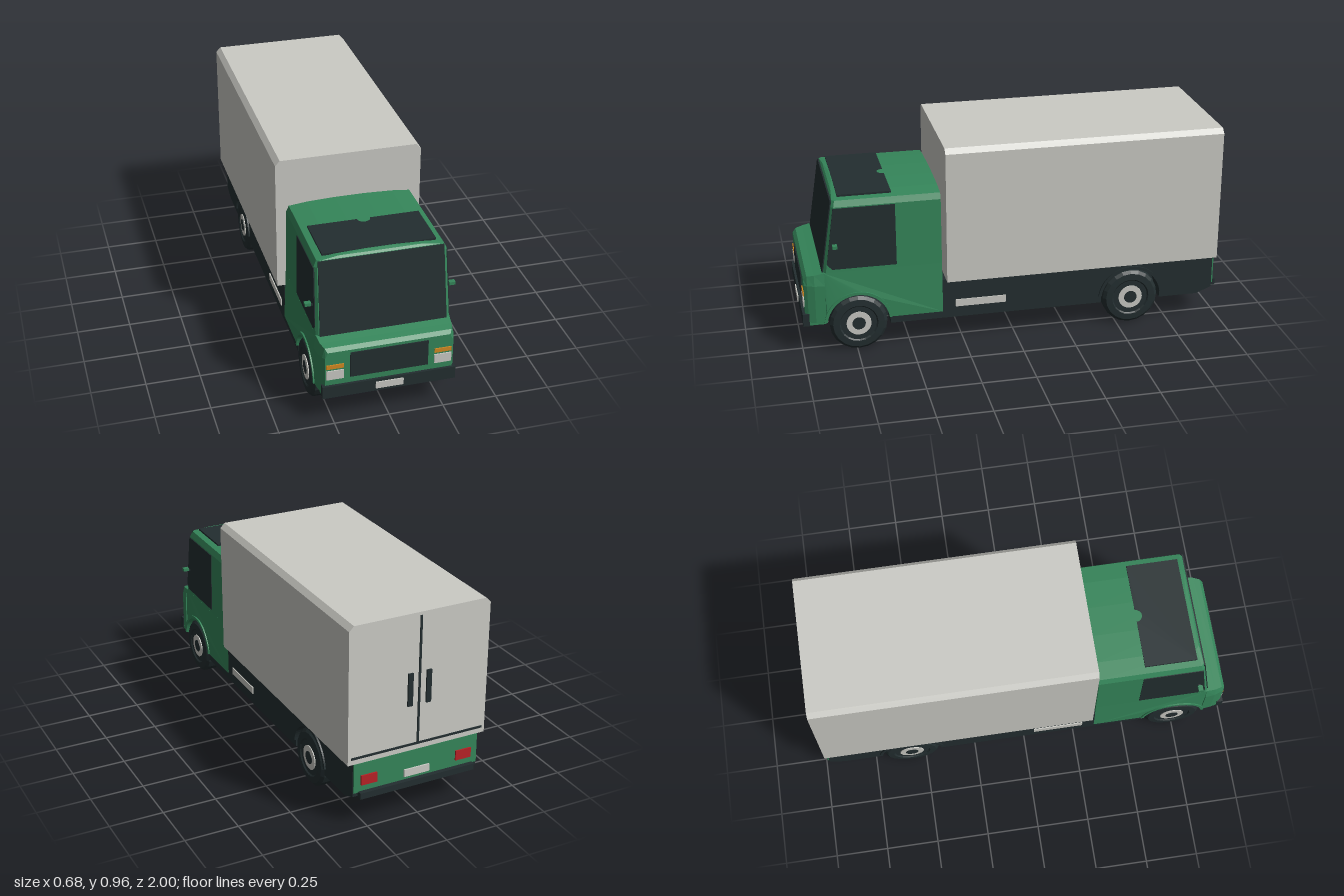
import * as THREE from 'three';

const material = (name, color) => Object.assign(new THREE.MeshStandardMaterial({ color }), { name });

// Flat-faced copy of a geometry
function flat(geo) {
  const g = geo.index ? geo.toNonIndexed() : geo;
  g.clearGroups();
  g.computeVertexNormals();
  return g;
}

// Copy reflected in x, with the corner order turned round
function reflected(geo) {
  const g = geo.clone(), p = g.attributes.position;
  for (let i = 0; i < p.count; i += 3) {
    const t = [0, 1, 2].map(k => [-p.getX(i + k), p.getY(i + k), p.getZ(i + k)]);
    [2, 1, 0].forEach((k, n) => p.setXYZ(i + n, ...t[k]));
  }
  g.computeVertexNormals();
  return g;
}

// Closed solid through rings of [x, y, z] points
function loft(rings) {
  const v = [], n = rings[0].length, last = rings[rings.length - 1];
  for (let k = 0; k + 1 < rings.length; k++) {
    const a = rings[k], b = rings[k + 1];
    for (let i = 0; i < n; i++) {
      const j = (i + 1) % n;
      v.push(...a[i], ...a[j], ...b[j], ...a[i], ...b[j], ...b[i]);
    }
  }
  for (let i = 1; i + 1 < n; i++) {
    v.push(...last[0], ...last[i], ...last[i + 1]);
    v.push(...rings[0][0], ...rings[0][i + 1], ...rings[0][i]);
  }
  const g = new THREE.BufferGeometry();
  g.setAttribute('position', new THREE.Float32BufferAttribute(v, 3));
  g.computeVertexNormals();
  return g;
}

// Box given by its limits
function block(x0, x1, y0, y1, z0, z1) {
  const g = new THREE.BoxGeometry(x1 - x0, y1 - y0, z1 - z0);
  return flat(g.translate((x0 + x1) / 2, (y0 + y1) / 2, (z0 + z1) / 2));
}

// Side outline (drawn with -z to the right) given a thickness in x
function sidePanel(shape, x0, x1) {
  const g = new THREE.ExtrudeGeometry(shape, { depth: x1 - x0, bevelEnabled: false, curveSegments: 14 });
  return flat(g.rotateY(Math.PI / 2).translate(x0, 0, 0));
}

export function createModel() {
  const model = new THREE.Group();
  model.name = 'boxTruck';
  const green = material('green paint', 0x35865a);
  const dark = material('dark trim and glass', 0x232e30);
  const grey = material('light grey', 0xcbcbc5);
  const orange = material('orange lamp', 0xd48a22);
  const red = material('red lamp', 0xb82226);

  const add = (name, geo, mat) => {
    const m = new THREE.Mesh(geo, mat);
    m.name = name;
    model.add(m);
  };
  const pair = (name, geo, mat) => {
    add(name + 'Left', geo, mat);
    add(name + 'Right', reflected(geo), mat);
  };

  const axleY = 0.137, frontZ = 0.74, rearZ = -0.565, archR = 0.145;

  // Cargo box with chamfered top edges
  const boxRing = z => [[-0.34, 0.315, z], [0.34, 0.315, z], [0.34, 0.942, z],
    [0.318, 0.965, z], [-0.318, 0.965, z], [-0.34, 0.942, z]];
  add('cargoBox', loft([boxRing(-0.982), boxRing(0.328)]), grey);
  add('doorSeam', block(-0.005, 0.005, 0.345, 0.95, -0.986, -0.981), dark);
  add('doorSill', block(-0.325, 0.325, 0.34, 0.35, -0.986, -0.981), dark);
  pair('doorHandle', block(0.033, 0.057, 0.535, 0.69, -0.99, -0.981), dark);

  // Upper cab, tapering to a crowned roof
  const cabRing = (w, y, zf, c = 0.012) => [[w, y, zf - c], [w, y, 0.345], [-w, y, 0.345],
    [-w, y, zf - c], [-w + c, y, zf], [w - c, y, zf]];
  add('upperCab', loft([cabRing(0.303, 0.395, 0.893), cabRing(0.297, 0.715, 0.844),
    cabRing(0.284, 0.743, 0.838), cabRing(0.2, 0.752, 0.83), cabRing(0.07, 0.757, 0.815)]), green);

  // Glass
  const screen = d => [[-0.287, 0.394, 0.893 + d], [0.287, 0.394, 0.893 + d],
    [0.281, 0.741, 0.84 + d], [-0.281, 0.741, 0.84 + d]];
  add('windscreen', loft([screen(-0.002), screen(0.005)]), dark);
  const sideGlass = d => [[0.85, 0.415], [0.555, 0.415], [0.555, 0.71], [0.836, 0.71], [0.874, 0.44]]
    .map(([z, y]) => [0.303 - (y - 0.395) * 0.019 + d, y, z]);
  pair('sideWindow', loft([sideGlass(-0.002), sideGlass(0.003)]), dark);

  // Roof panel with a round notch in its rear edge
  const roof = new THREE.Shape();
  roof.moveTo(-0.255, -0.81).lineTo(0.255, -0.81).lineTo(0.255, -0.565).lineTo(0.03, -0.565);
  roof.absarc(0, -0.565, 0.03, 0, Math.PI, true).lineTo(-0.255, -0.565).closePath();
  const roofGeo = new THREE.ExtrudeGeometry(roof, { depth: 0.009, bevelEnabled: false, curveSegments: 8 });
  add('roofPanel', flat(roofGeo.rotateX(-Math.PI / 2).translate(0, 0.749, 0)), dark);

  // Lower cab sides with the front wheel arches
  const side = new THREE.Shape(), a = Math.asin((0.155 - axleY) / archR);
  side.moveTo(-0.89, 0.155);
  side.absarc(-frontZ, axleY, archR, Math.PI - a, a, true);
  side.lineTo(-0.345, 0.155).lineTo(-0.345, 0.4).lineTo(-0.89, 0.4).closePath();
  const sideGeo = sidePanel(side, 0.225, 0.313), sp = sideGeo.attributes.position;
  for (let i = 0; i < sp.count; i++) if (sp.getY(i) > 0.39 && sp.getX(i) > 0.3) sp.setX(i, 0.303);
  sideGeo.computeVertexNormals();
  pair('lowerCabSide', sideGeo, green);
  add('lowerCabCentre', block(-0.226, 0.226, 0.3, 0.398, 0.345, 0.89), green);

  // Nose, narrowing towards the front
  const noseRing = (z, w, top) => [[-w, 0.155, z], [w, 0.155, z], [w, 0.34, z],
    [w - 0.011, top, z], [-w + 0.011, top, z], [-w, 0.34, z]];
  add('nose', loft([noseRing(0.888, 0.313, 0.4), noseRing(0.935, 0.308, 0.39),
    noseRing(0.968, 0.297, 0.384), noseRing(0.983, 0.287, 0.368)]), green);
  const valance = z => [[-0.18, 0.12, z], [0.18, 0.12, z], [0.3, 0.142, z],
    [0.3, 0.16, z], [-0.3, 0.16, z], [-0.3, 0.142, z]];
  add('frontValance', loft([valance(0.888), valance(0.965)]), green);

  // Front trim and lamps
  add('grille', block(-0.176, 0.176, 0.23, 0.355, 0.98, 0.988), dark);
  pair('headlamp', block(0.205, 0.283, 0.23, 0.275, 0.98, 0.988), grey);
  pair('indicator', block(0.205, 0.283, 0.285, 0.305, 0.98, 0.988), orange);
  add('frontBumper', block(-0.302, 0.302, 0.14, 0.2, 0.965, 0.995), dark);
  add('frontPlate', block(-0.063, 0.063, 0.154, 0.187, 0.994, 1.0), grey);

  // Mirrors
  pair('mirrorStem', block(0.295, 0.318, 0.526, 0.534, 0.832, 0.842), dark);
  pair('mirror', block(0.312, 0.34, 0.529, 0.544, 0.826, 0.848), green);

  // Chassis: floor, and skirts with the rear wheel arches
  add('floor', block(-0.226, 0.226, 0.12, 0.312, -0.9, 0.888), dark);
  const tail = x => [[x, 0.12, -0.9], [x, 0.15, -0.972], [x, 0.314, -0.972], [x, 0.314, -0.9]];
  add('floorTail', loft([tail(-0.226), tail(0.226)]), dark);
  const skirt = new THREE.Shape();
  skirt.moveTo(-0.592, 0.121).lineTo(-0.592, 0.158).lineTo(-0.345, 0.158).lineTo(-0.345, 0.315);
  skirt.lineTo(0.972, 0.315).lineTo(0.972, 0.15).lineTo(0.9, 0.12);
  skirt.lineTo(-rearZ + archR, 0.12);
  skirt.absarc(-rearZ, axleY, archR, 0, Math.PI, false);
  skirt.lineTo(-rearZ - archR, 0.12).closePath();
  pair('skirt', sidePanel(skirt, 0.225, 0.31), dark);
  pair('skirtPanel', block(0.308, 0.315, 0.175, 0.21, 0.045, 0.285), grey);

  // Wheel arch lips
  const lip = z => {
    const s = new THREE.Shape();
    s.absarc(-z, axleY, archR + 0.014, 0.12, Math.PI - 0.12, false);
    s.absarc(-z, axleY, archR, Math.PI - 0.12, 0.12, true);
    return sidePanel(s, 0.305, 0.318);
  };
  pair('frontArchLip', lip(frontZ), green);
  pair('rearArchLip', lip(rearZ), dark);

  // Rear panel, lamps and bumper
  add('rearPanel', block(-0.308, 0.308, 0.17, 0.312, -0.979, -0.971), green);
  pair('rearLamp', block(0.197, 0.275, 0.205, 0.252, -0.986, -0.978), red);
  add('rearPlate', block(-0.063, 0.063, 0.19, 0.225, -0.986, -0.978), grey);
  add('rearBumper', block(-0.285, 0.285, 0.145, 0.175, -1.0, -0.955), dark);

  // Wheels: turned tyre, ring and hub
  const turned = (points, z) => flat(new THREE.LatheGeometry(points.map(p => new THREE.Vector2(...p)), 20)
    .rotateZ(-Math.PI / 2).translate(0, axleY, z));
  for (const [name, z] of [['front', frontZ], ['rear', rearZ]]) {
    pair(name + 'Tyre', turned([[0, 0.235], [0.118, 0.235], [0.134, 0.248], [0.134, 0.302], [0.12, 0.315],
      [0.09, 0.317], [0.084, 0.311], [0, 0.311]], z), dark);
    pair(name + 'WheelRing', turned([[0.058, 0.305], [0.058, 0.315], [0.03, 0.315]], z), grey);
    pair(name + 'Hub', turned([[0.031, 0.305], [0.031, 0.317], [0, 0.317]], z), dark);
  }
  return model;
}
